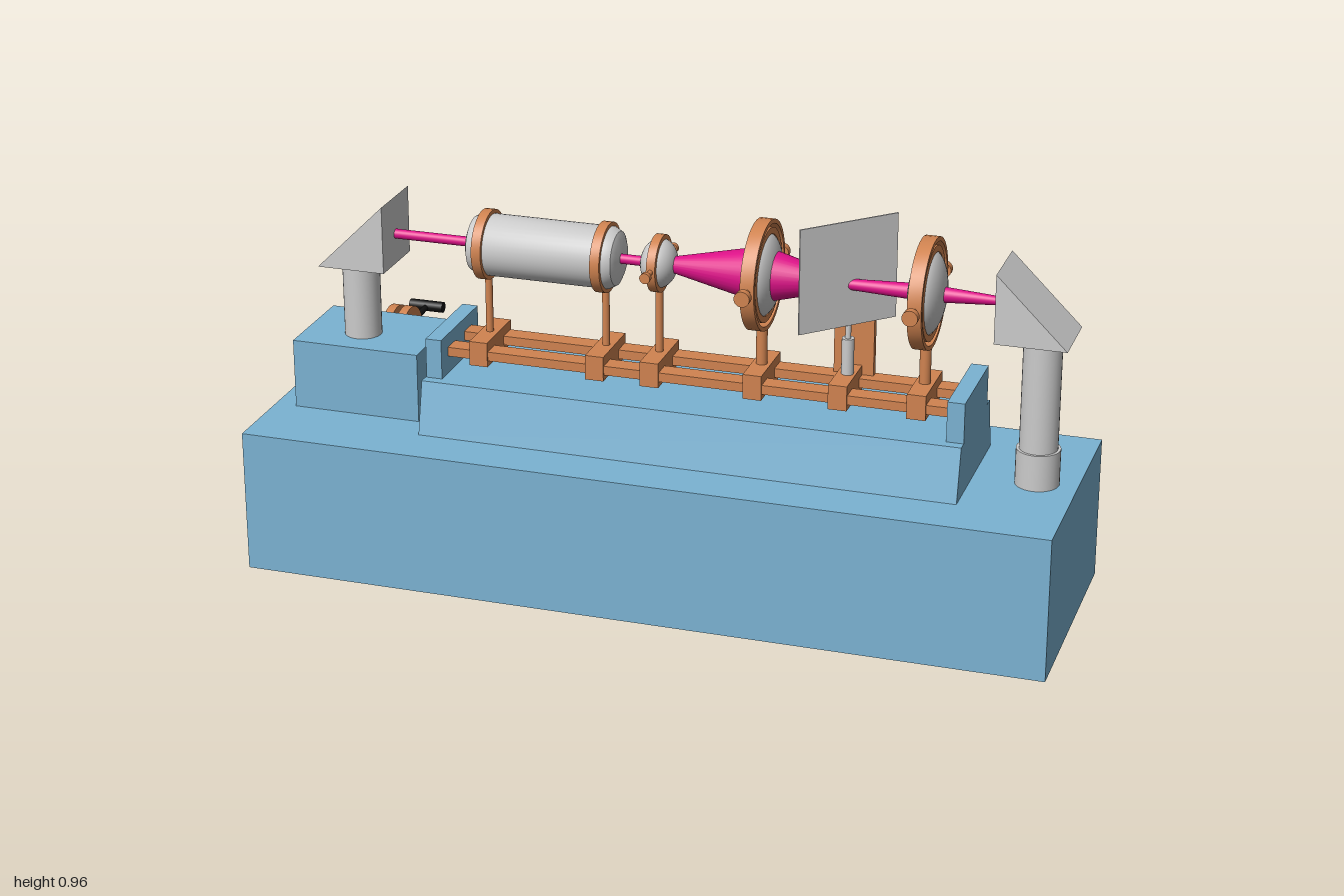
import * as THREE from 'three';
import { toCreasedNormals } from 'three/addons/utils/BufferGeometryUtils.js';

const mat = (color) => new THREE.MeshStandardMaterial({ color });

export function createModel() {
  const root = new THREE.Group();
  const blue = mat(0x7bb3d3), orange = mat(0xd08350), pink = mat(0xdd1188);
  const grey = mat(0xcccccc), black = mat(0x111111);
  const AY = 0.805, AZ = 0.047; // optical axis

  const add = (name, geo, material, x = 0, y = 0, z = 0, parent = root) => {
    const m = new THREE.Mesh(geo, material);
    m.name = name;
    m.position.set(x, y, z);
    parent.add(m);
    return m;
  };
  // box given by its limits on each axis
  const box = (name, material, x0, x1, y0, y1, z0, z1, parent = root) =>
    add(name, new THREE.BoxGeometry(x1 - x0, y1 - y0, z1 - z0), material,
      (x0 + x1) / 2, (y0 + y1) / 2, (z0 + z1) / 2, parent);
  const extrude = (pts, depth) => new THREE.ExtrudeGeometry(
    new THREE.Shape(pts.map(([a, b]) => new THREE.Vector2(a, b))), { depth, bevelEnabled: false });
  // side profile of [z, y] points swept along x
  const sideProfile = (name, material, pts, x0, x1) =>
    add(name, extrude(pts.map(([z, y]) => [-z, y]), x1 - x0).rotateY(Math.PI / 2), material, x0);
  // [radius, x] profile turned around the x axis
  const turned = (pts) => toCreasedNormals(
    new THREE.LatheGeometry(pts.map(([r, x]) => new THREE.Vector2(r, x)), 40), 0.6).rotateZ(-Math.PI / 2);
  const ring = (ro, ri, w) =>
    turned([[ro, -w / 2], [ro, w / 2], [ri, w / 2], [ri, -w / 2], [ro, -w / 2]]);
  const post = (name, material, x, y0, y1, r, parent = root) =>
    add(name, new THREE.CylinderGeometry(r, r, y1 - y0, 32), material, x, (y0 + y1) / 2, AZ, parent);

  // base, control block and bed
  box('base', blue, -1, 1, 0, 0.36, -0.25, 0.35);
  sideProfile('controlBlock', blue,
    [[0.15, 0.36], [0.15, 0.535], [-0.1, 0.535], [-0.232, 0.405], [-0.232, 0.36]], -0.945, -0.618);
  sideProfile('bed', blue,
    [[0.226, 0.36], [0.195, 0.49], [-0.105, 0.49], [-0.135, 0.36]], -0.588, 0.75);
  box('rightEndPlate', blue, -0.585, -0.545, 0.49, 0.59, -0.077, 0.17);
  box('leftEndPlate', blue, 0.708, 0.75, 0.49, 0.59, -0.077, 0.17);
  const plate = add('backPlate', new THREE.BoxGeometry(0.16, 0.08, 0.012), orange, 0.095, 0.427, -0.121);
  plate.rotation.x = 0.227;

  // rails and carriages
  for (const z of [-0.008, 0.102])
    box('rail', orange, -0.545, 0.708, 0.533, 0.556, z - 0.024, z + 0.024);
  for (const x of [-0.465, -0.168, -0.03, 0.226, 0.435, 0.625])
    box('carriage', orange, x - 0.023, x + 0.023, 0.518, 0.58, -0.037, 0.13);

  // beam tube with two clamps
  add('beamTube', turned([[0, -0.19], [0.05, -0.19], [0.066, -0.183], [0.076, -0.165],
    [0.076, 0.165], [0.066, 0.183], [0.05, 0.19], [0, 0.19]]), grey, -0.315, AY, AZ);
  for (const x of [-0.465, -0.165]) {
    add('tubeClamp', ring(0.086, 0.074, 0.024), orange, x, AY, AZ);
    post('tubePost', orange, x, 0.57, 0.725, 0.009);
  }

  // lens in a pivoting mount
  const lens = (name, x, r, depth, rings, reach, knob) => {
    const g = new THREE.Group();
    g.name = name;
    root.add(g);
    add('glass', new THREE.SphereGeometry(1, 40, 28).scale(depth, r, r), grey, x, AY, AZ, g);
    for (const [ro, ri, w] of rings) add('lensRing', ring(ro, ri, w), orange, x, AY, AZ, g);
    const outer = rings[rings.length - 1][0];
    post('lensPost', orange, x, 0.57, AY - outer + 0.005, knob * 0.72, g);
    for (const s of [-1, 1]) {
      const z0 = rings[0][1], len = reach - z0;
      add('pivot', new THREE.CylinderGeometry(knob / 2, knob / 2, len, 20).rotateX(Math.PI / 2),
        orange, x, AY, AZ + s * (z0 + len / 2), g);
      add('knob', new THREE.CylinderGeometry(knob, knob, knob, 24).rotateX(Math.PI / 2),
        orange, x, AY, AZ + s * (reach - knob / 2), g);
    }
  };
  lens('smallLens', -0.03, 0.06, 0.044, [[0.07, 0.057, 0.022]], 0.113, 0.013);
  for (const x of [0.226, 0.625])
    lens('largeLens', x, 0.102, 0.043, [[0.114, 0.098, 0.03], [0.134, 0.123, 0.034]], 0.175, 0.019);

  // light beam: [x, radius] along the axis
  const beam = [[-0.71, 0.012], [-0.5, 0.012], null, [-0.13, 0.012], [-0.03, 0.012], [0.226, 0.068],
    [0.437, 0.013], [0.625, 0.021], [0.805, 0.01]];
  for (let i = 0; i < beam.length - 1; i++) {
    const a = beam[i], b = beam[i + 1];
    if (!a || !b) continue;
    add('beam', new THREE.CylinderGeometry(b[1], a[1], b[0] - a[0], 32).rotateZ(-Math.PI / 2),
      pink, (a[0] + b[0]) / 2, AY, AZ);
  }

  // diagonal splitter plate, its stem and the screen behind it
  const splitter = add('splitter', new THREE.BoxGeometry(0.263, 0.26, 0.004), grey, 0.437, 0.835, 0.058);
  splitter.rotation.y = Math.PI / 4;
  post('splitterPost', grey, 0.437, 0.57, 0.67, 0.015);
  post('splitterStem', grey, 0.437, 0.67, 0.8, 0.007);
  box('screen', orange, 0.388, 0.486, 0.545, 0.925, -0.029, -0.011);

  // end prisms on columns
  const prism = (name, pts) => add(name, extrude(pts, 0.17), grey, 0, 0, AZ - 0.085);
  prism('rightPrism', [[-0.877, 0.73], [-0.705, 0.73], [-0.705, 0.9]]);
  prism('leftPrism', [[0.803, 0.73], [0.975, 0.73], [0.803, 0.9]]);
  post('rightColumn', grey, -0.8, 0.535, 0.73, 0.046);
  post('leftColumn', grey, 0.902, 0.36, 0.73, 0.046);
  post('columnCollar', grey, 0.902, 0.36, 0.45, 0.053);

  // control lever between two discs
  for (const x of [-0.803, -0.768])
    add('leverDisc', new THREE.CylinderGeometry(0.075, 0.075, 0.022, 40).rotateZ(Math.PI / 2),
      orange, x, 0.455, -0.156);
  const lever = add('lever', new THREE.CylinderGeometry(0.007, 0.011, 0.18, 16), black, -0.785, 0.462, -0.24);
  lever.rotation.x = -Math.PI / 2 + 0.06;
  add('leverGrip', new THREE.CylinderGeometry(0.014, 0.014, 0.09, 20).rotateZ(Math.PI / 2),
    black, -0.785, 0.468, -0.332);

  return root;
}
